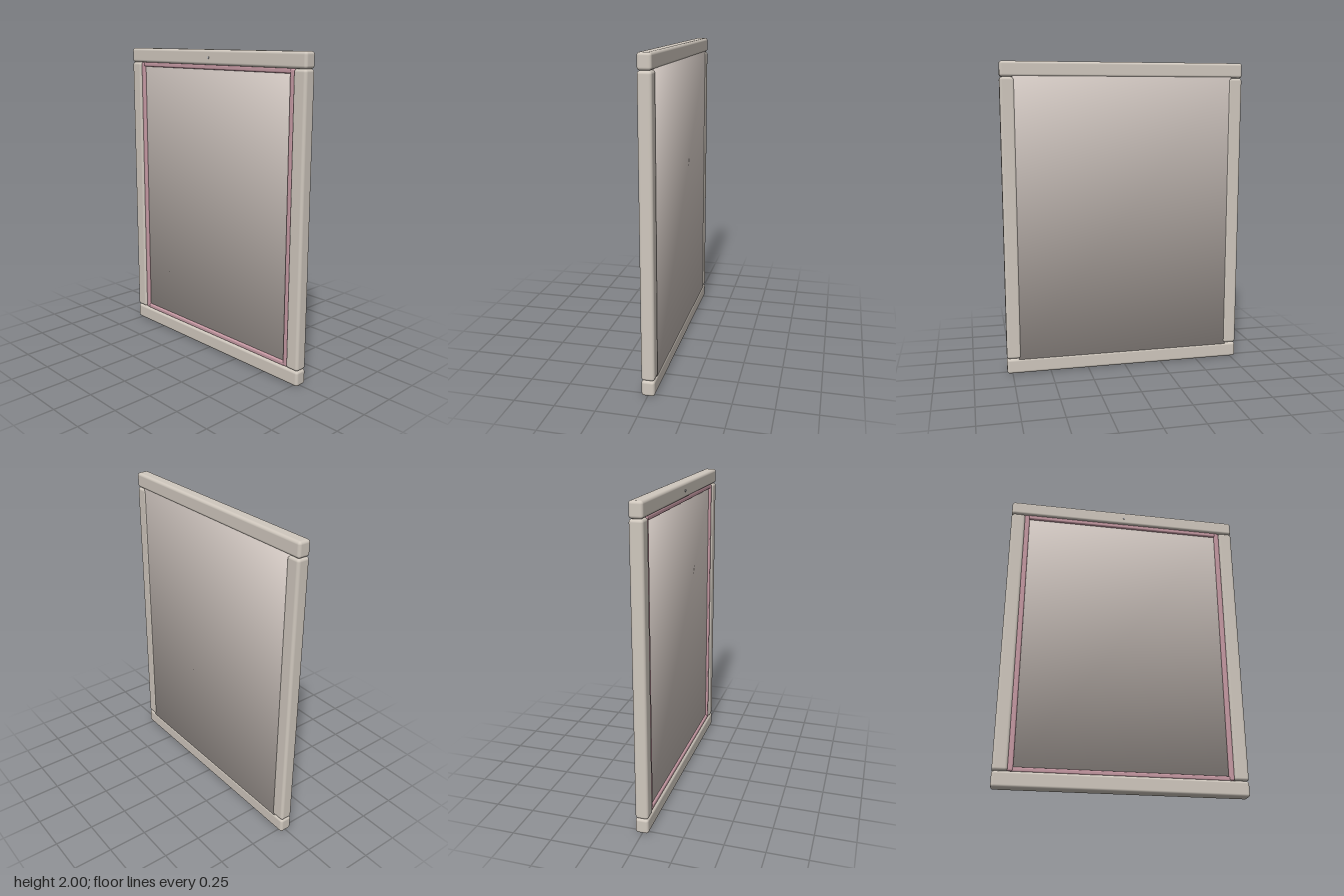
import * as THREE from 'three';
import { RoundedBoxGeometry } from 'three/addons/geometries/RoundedBoxGeometry.js';

const material = (name, color) => {
  const m = new THREE.MeshStandardMaterial({ color });
  m.name = name;
  return m;
};

export function createModel() {
  const group = new THREE.Group();
  group.name = 'framedPanel';
  const frameMat = material('frame beige', 0xd0c8be);
  const panelMat = material('panel beige', 0xd0c6c0);
  const trimMat = material('trim pink', 0xc79aa4);
  const pinMat = material('pin grey', 0xc4c4c6);

  const add = (name, geometry, mat, x, y, z) => {
    const mesh = new THREE.Mesh(geometry, mat);
    mesh.name = name;
    mesh.position.set(x, y, z);
    group.add(mesh);
    return mesh;
  };

  // bar spanning the given x, y and z ranges, with rounded edges
  const bar = (name, mat, x0, x1, y0, y1, z0, z1, r) =>
    add(name, new RoundedBoxGeometry(x1 - x0, y1 - y0, z1 - z0, 4, r), mat,
      (x0 + x1) / 2, (y0 + y1) / 2, (z0 + z1) / 2);

  // outer frame: two full-width rails with two stiles between them
  const back = -0.043, front = 0.039;
  bar('bottomRail', frameMat, -0.785, 0.785, 0, 0.1, back, front, 0.018);
  bar('topRail', frameMat, -0.785, 0.785, 1.904, 2, back, front, 0.018);
  bar('rightStile', frameMat, -0.785, -0.692, 0.1, 1.904, back, front, 0.018);
  bar('leftStile', frameMat, 0.692, 0.785, 0.1, 1.904, back, front, 0.018);

  // thin bead around the inside of the frame, on the front only
  bar('rightTrim', trimMat, -0.694, -0.66, 0.1, 1.904, 0, 0.031, 0.011);
  bar('leftTrim', trimMat, 0.66, 0.694, 0.1, 1.904, 0, 0.031, 0.011);
  bar('bottomTrim', trimMat, -0.67, 0.67, 0.096, 0.128, 0, 0.029, 0.011);
  bar('topTrim', trimMat, -0.67, 0.67, 1.876, 1.908, 0, 0.029, 0.011);

  // panel with normals fanned out at its corners for a soft, pillowed shading
  const panel = new THREE.BoxGeometry(1.416, 1.84, 0.055);
  const { position, normal } = panel.attributes;
  const n = new THREE.Vector3();
  for (let i = 0; i < position.count; i++) {
    n.set(Math.sign(position.getX(i)), Math.sign(position.getY(i)), Math.sign(position.getZ(i))).normalize();
    normal.setXYZ(i, n.x, n.y, n.z);
  }
  add('panel', panel, panelMat, 0, 1.002, -0.0115);

  // tiny pin in the middle of the top rail
  add('pin', new THREE.CylinderGeometry(0.007, 0.009, 0.01, 16), pinMat, 0, 1.95, 0.038).rotation.x = Math.PI / 2;

  return group;
}
